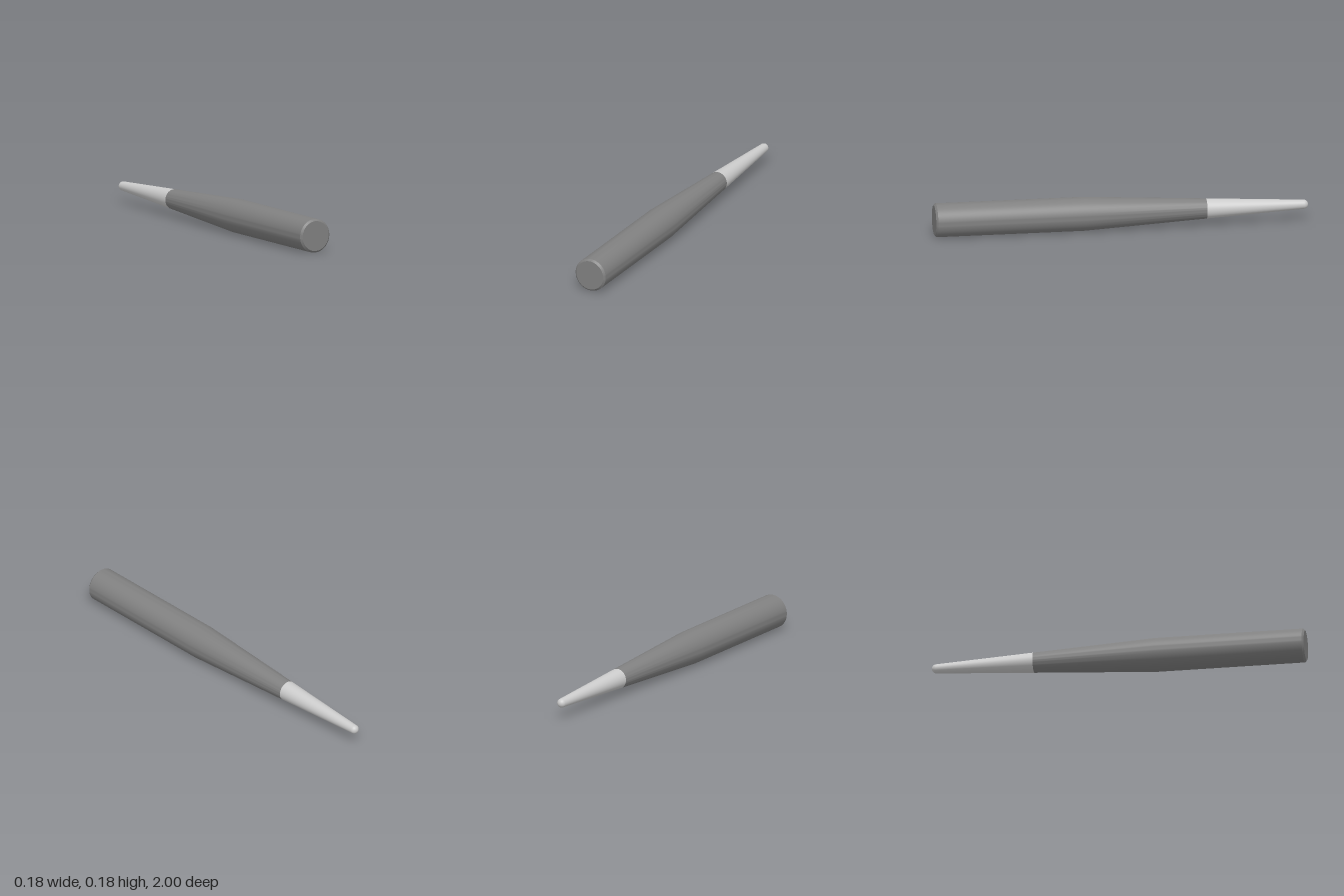
import * as THREE from 'three';
import { toCreasedNormals } from 'three/addons/utils/BufferGeometryUtils.js';

const SEGMENTS = 64;
const RADIUS = 0.09;
const JOIN = { z: -0.455, r: 0.0535 };

// Turn a [radius, z] profile, listed from front to back, around the long axis.
function turned(profile) {
  const points = profile.map(([r, z]) => new THREE.Vector2(r, -z));
  return new THREE.LatheGeometry(points, SEGMENTS).rotateX(-Math.PI / 2);
}

function addPart(group, name, geometry, color) {
  const mesh = new THREE.Mesh(geometry, new THREE.MeshStandardMaterial({ color }));
  mesh.name = name;
  mesh.position.y = RADIUS;
  group.add(mesh);
}

export function createModel() {
  const group = new THREE.Group();
  group.name = 'taperedStick';

  // Handle: flat chamfered butt, straight grip, then the start of the taper
  const handle = turned([
    [0, 1], [0.08, 1], [RADIUS, 0.99], [RADIUS, 0.2], [JOIN.r, JOIN.z],
  ]);
  addPart(group, 'handle', toCreasedNormals(handle, Math.PI / 6), 0x808080);

  // Tip: the taper carried on to a rounded end
  const tipRadius = 0.0245;
  const tipProfile = [[JOIN.r, JOIN.z]];
  const steps = 10;
  for (let i = 0; i <= steps; i++) {
    const a = (i / steps) * Math.PI / 2;
    const r = i === steps ? 0 : tipRadius * Math.cos(a);
    tipProfile.push([r, -1 + tipRadius * (1 - Math.sin(a))]);
  }
  addPart(group, 'tip', turned(tipProfile), 0xcccccc);

  return group;
}
